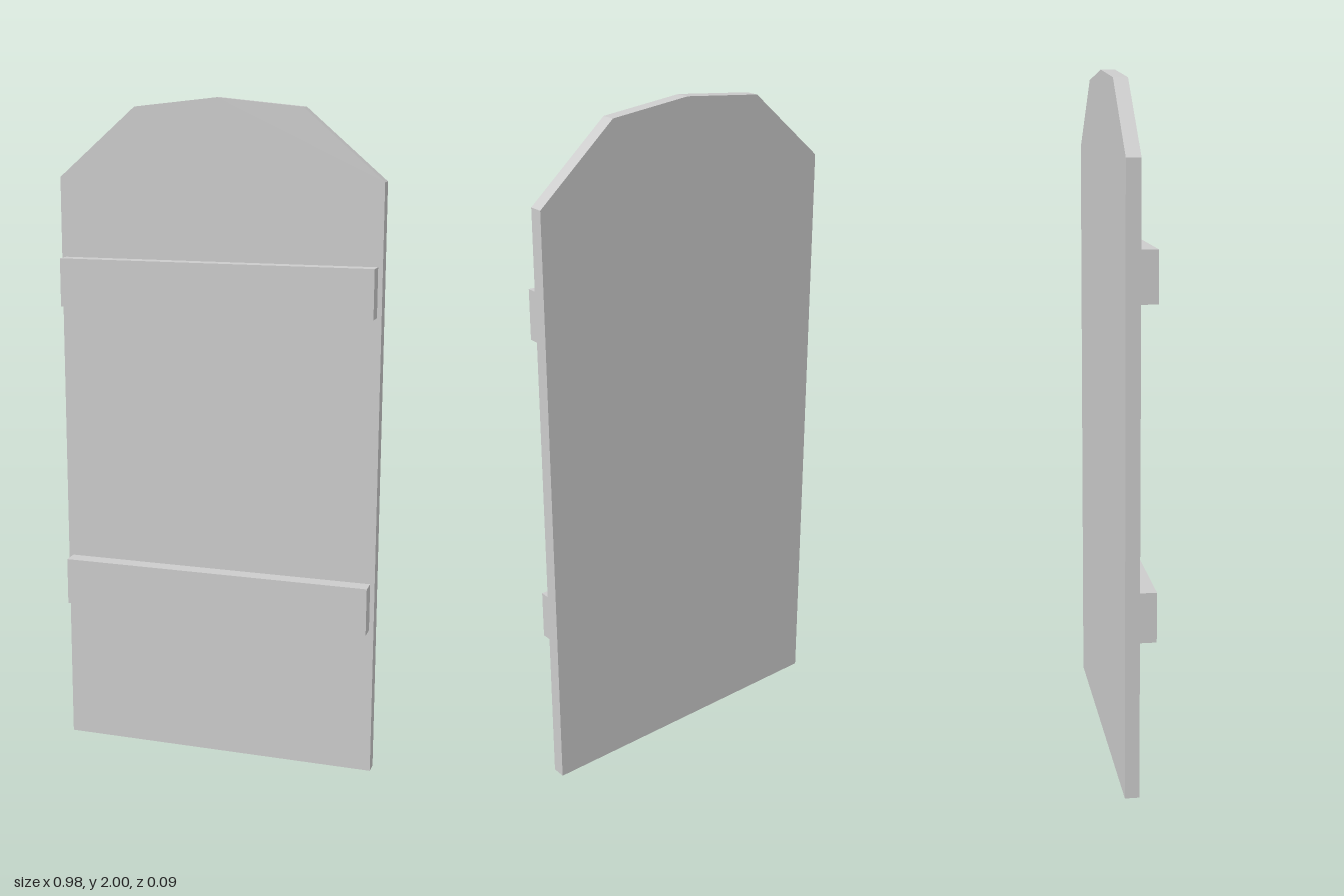
import * as THREE from 'three';

export function createModel() {
  const model = new THREE.Group();
  model.name = 'archedDoor';
  const material = new THREE.MeshStandardMaterial({ color: 0xcccccc, flatShading: true });

  const backZ = -0.045, faceZ = -0.004, frontZ = 0.045;

  // Door panel with a faceted arched top
  const outline = new THREE.Shape([
    [-0.489, 0], [0.489, 0], [0.489, 1.77], [0.252, 1.974],
    [0, 2], [-0.252, 1.974], [-0.489, 1.77],
  ].map(([x, y]) => new THREE.Vector2(x, y)));
  const panel = new THREE.Mesh(
    new THREE.ExtrudeGeometry(outline, { depth: faceZ - backZ, bevelEnabled: false }),
    material,
  );
  panel.name = 'doorPanel';
  panel.position.z = backZ;
  model.add(panel);

  // Two horizontal battens across the front face
  const battenGeometry = new THREE.BoxGeometry(0.951, 0.144, frontZ - faceZ);
  for (const [name, y] of [['lowerBatten', 0.525], ['upperBatten', 1.462]]) {
    const batten = new THREE.Mesh(battenGeometry, material);
    batten.name = name;
    batten.position.set(0, y, (frontZ + faceZ) / 2);
    model.add(batten);
  }

  return model;
}
